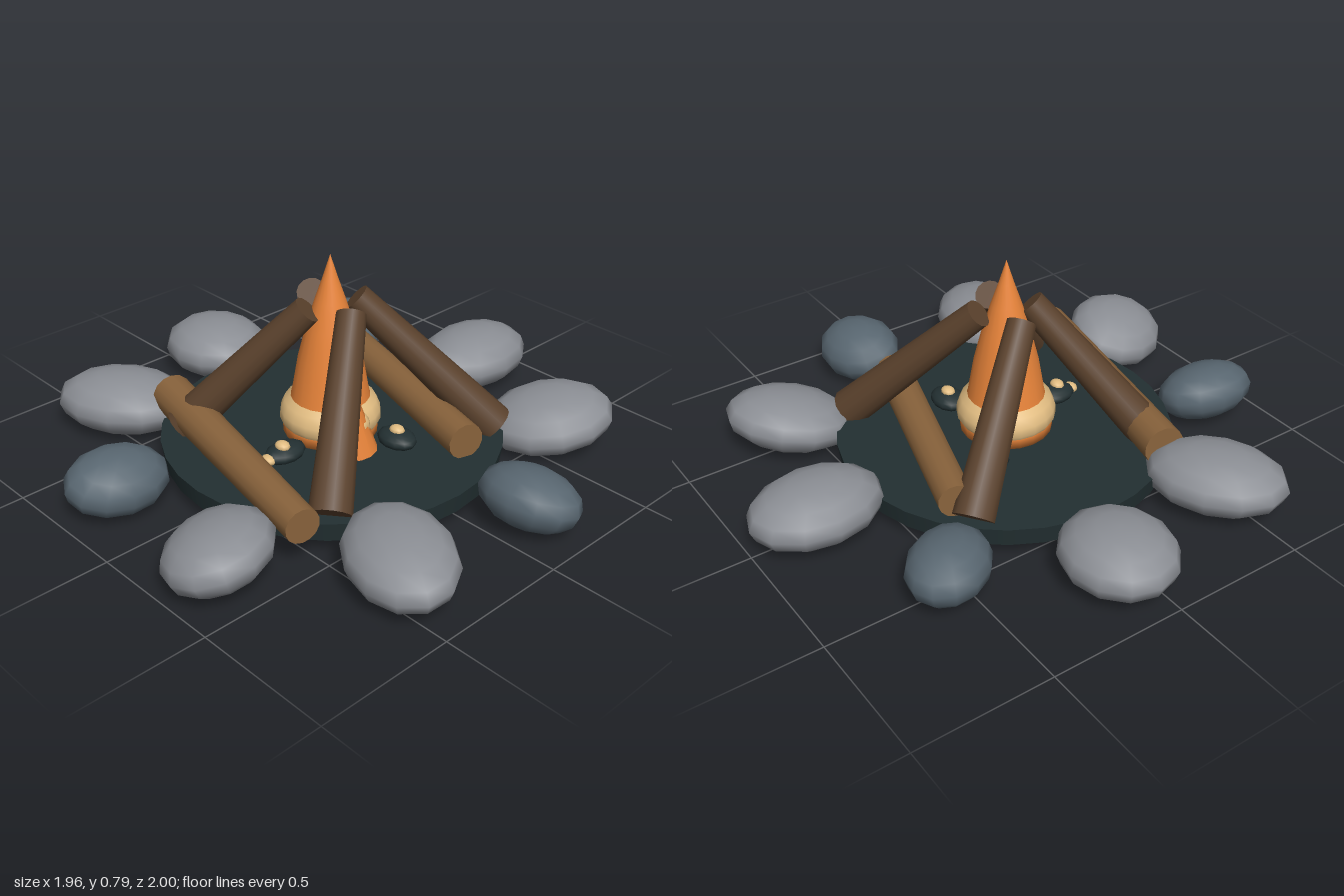
import * as THREE from 'three';

const mat = (name, color, side = THREE.FrontSide) => {
  const m = new THREE.MeshStandardMaterial({ color, side });
  m.name = name;
  return m;
};

export function createModel() {
  const group = new THREE.Group();
  group.name = 'campfire';
  const paleStone = mat('pale stone', 0x8b8e94);
  const darkStone = mat('dark stone', 0x586670);
  const ash = mat('charred ground', 0x233032);
  const darkWood = mat('dark wood', 0x5a412c);
  const lightWood = mat('light wood', 0x89633c);
  const orange = mat('orange flame', 0xe8843a);
  const cream = mat('cream glow', 0xe2bd82, THREE.DoubleSide);

  const add = (name, geometry, material, x = 0, y = 0, z = 0) => {
    const mesh = new THREE.Mesh(geometry, material);
    mesh.name = name;
    mesh.position.set(x, y, z);
    group.add(mesh);
    return mesh;
  };

  // Tapered cylinder between two points
  const up = new THREE.Vector3(0, 1, 0);
  const beam = (name, material, from, to, r0, r1, sides = 14) => {
    const a = new THREE.Vector3(...from), b = new THREE.Vector3(...to);
    const dir = b.clone().sub(a);
    const mesh = add(name, new THREE.CylinderGeometry(r1, r0, dir.length(), sides), material);
    mesh.position.copy(a).add(b).multiplyScalar(0.5);
    mesh.quaternion.setFromUnitVectors(up, dir.normalize());
  };

  // Charred disc
  add('fireBed', new THREE.CylinderGeometry(0.61, 0.6, 0.07, 32), ash, 0.02, 0.095, 0.035);

  // Ring of stones: x, z, half length, half width, yaw, tilt about x, tilt about z
  const pebble = new THREE.SphereGeometry(1, 12, 8);
  const stones = [
    [paleStone, -0.01, -0.755, 0.245, 0.18, 1.57, 0, 0],
    [paleStone, 0.51, -0.585, 0.235, 0.185, 0.95, 0.18, 0],
    [darkStone, 0.79, -0.13, 0.185, 0.145, 0.12, -0.25, 0],
    [paleStone, 0.72, 0.41, 0.25, 0.18, -0.45, 0.08, 0],
    [paleStone, 0.315, 0.795, 0.21, 0.185, -1.0, 0.14, 0.22],
    [darkStone, -0.225, 0.793, 0.187, 0.14, 1.4, 0, -0.28],
    [paleStone, -0.655, 0.455, 0.255, 0.18, 0.58, 0, 0],
    [paleStone, -0.77, -0.075, 0.215, 0.195, 0, 0, 0],
    [darkStone, -0.51, -0.552, 0.18, 0.14, -0.85, 0, -0.1],
  ];
  for (const [m, x, z, length, width, yaw, rx, rz] of stones) {
    const stone = add('ringStone', pebble, m, x, 0.125, z);
    stone.scale.set(length, rx || rz ? 0.105 : 0.11, width);
    stone.rotation.set(rx, yaw, rz, 'XZY');
  }

  // Logs lying on the bed
  beam('lyingLogFront', lightWood, [-0.48, 0.185, 0.365], [0.455, 0.175, 0.57], 0.075, 0.062);
  beam('lyingLogBack', lightWood, [-0.325, 0.19, -0.4], [0.485, 0.19, -0.155], 0.062, 0.066);

  // Logs leaning into a tepee: foot x, z, top x, z
  for (const [x0, z0, x1, z1] of [
    [-0.34, 0.42, 0.0, 0.13],
    [0.43, 0.43, 0.125, 0.045],
    [0.42, -0.38, 0.04, -0.06],
    [-0.38, -0.37, -0.095, 0.025],
  ]) beam('leaningLog', darkWood, [x0, 0.14, z0], [x1, 0.615, z1], 0.074, 0.052);

  // Main flame with a pale glowing band around its foot
  const lathe = (points) =>
    new THREE.LatheGeometry(points.map(([r, y]) => new THREE.Vector2(r, y)), 20);
  add('mainFlame', lathe([
    [0, 0.13], [0.168, 0.13], [0.17, 0.17], [0.155, 0.22], [0.137, 0.28],
    [0.115, 0.41], [0.085, 0.53], [0.055, 0.63], [0.028, 0.71], [0, 0.8],
  ]), orange, 0.02, 0, 0.043);
  add('flameGlow', lathe([
    [0.165, 0.16], [0.18, 0.185], [0.178, 0.215], [0.163, 0.25], [0.13, 0.276],
  ]), cream, 0.02, 0, 0.043);

  // Small side flame
  beam('sideFlame', orange, [0.195, 0.13, 0.085], [0.17, 0.47, 0.12], 0.075, 0, 12);
  add('sideFlameGlow', new THREE.SphereGeometry(0.055, 12, 8), cream, 0.185, 0.225, 0.085);

  // Coals with glowing specks
  for (const [x, z, rx, rz] of [
    [0.255, -0.055, 0.078, 0.06], [0.055, 0.29, 0.056, 0.082], [-0.16, -0.15, 0.06, 0.07],
  ]) add('coal', new THREE.SphereGeometry(1, 12, 8), ash, x, 0.145, z).scale.set(rx, 0.035, rz);
  for (const [x, y, z] of [[0.255, 0.178, -0.055], [0.06, 0.178, 0.305], [0.055, 0.145, 0.365]])
    add('ember', new THREE.SphereGeometry(1, 10, 6), cream, x, y, z).scale.set(0.03, 0.018, 0.025);

  return group;
}
